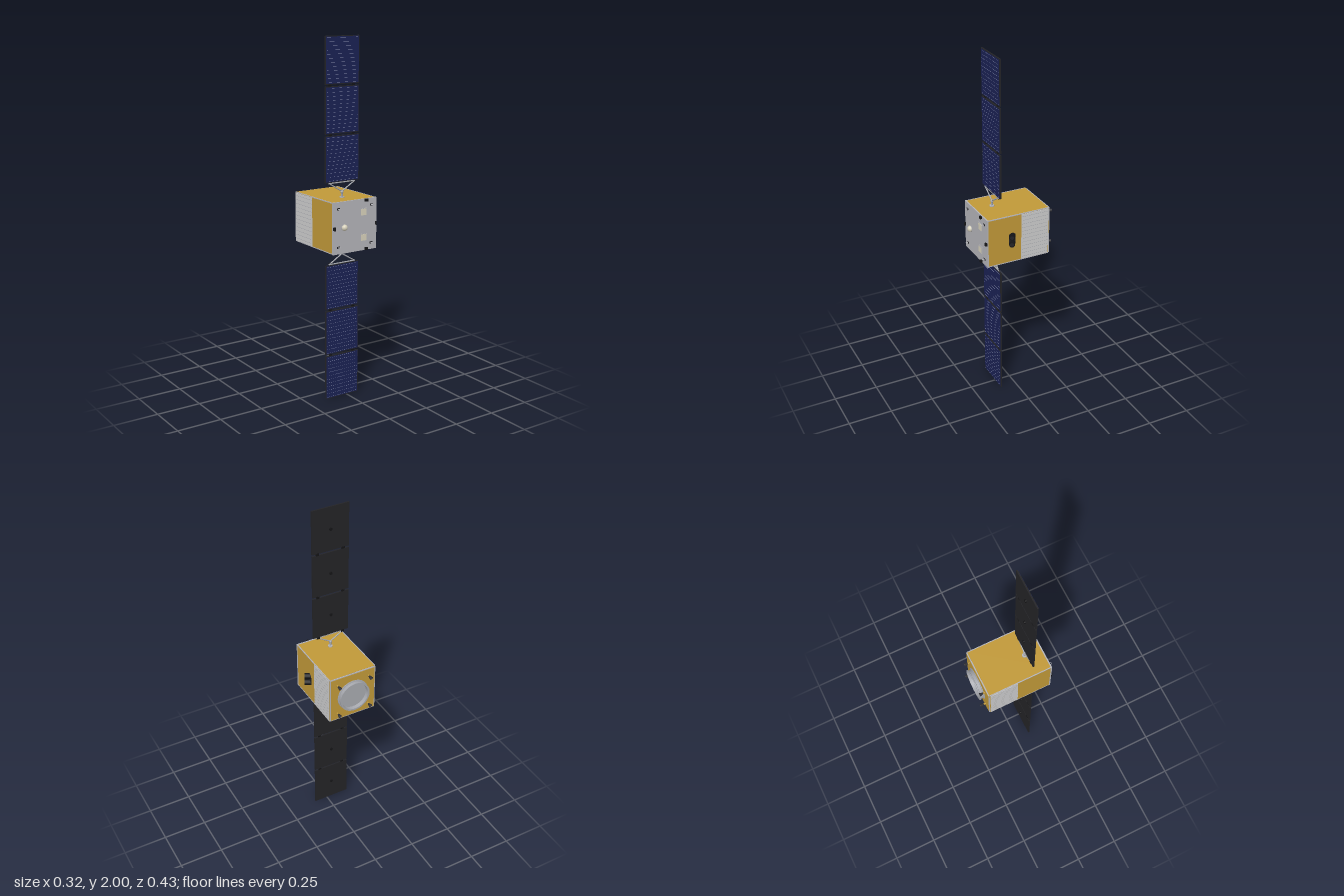
import * as THREE from 'three';

const mat = (color, extra = {}) => new THREE.MeshStandardMaterial({ color, ...extra });

export function createModel() {
  const gold = mat(0xc09838), grey = mat(0xb4b4b9), white = mat(0xd8d8d4), dark = mat(0x232326),
    black = mat(0x141416), blue = mat(0x1a2154), pale = mat(0x8f96b4), cream = mat(0xd8d2bc),
    steel = mat(0xa6a8ae, { side: THREE.DoubleSide });
  const model = new THREE.Group();
  const CX = -0.016, CY = 1; // bus centre

  const add = (parent, name, geo, material, x = 0, y = 0, z = 0) => {
    const m = new THREE.Mesh(geo, material);
    m.name = name;
    m.position.set(x, y, z);
    parent.add(m);
    return m;
  };
  const box = (p, name, w, h, d, material, x, y, z) =>
    add(p, name, new THREE.BoxGeometry(w, h, d), material, x, y, z);
  const group = (name, x = 0, y = 0, z = 0) => {
    const g = new THREE.Group();
    g.name = name;
    g.position.set(x, y, z);
    model.add(g);
    return g;
  };
  const rod = (p, name, a, b, r, material) => {
    const A = new THREE.Vector3(...a), B = new THREE.Vector3(...b), d = B.clone().sub(A);
    const m = add(p, name, new THREE.CylinderGeometry(r, r, d.length(), 12), material);
    m.position.copy(A).lerp(B, 0.5);
    m.quaternion.setFromUnitVectors(new THREE.Vector3(0, 1, 0), d.normalize());
    return m;
  };

  // Bus with insulated skin, front deck and rear plate
  const bus = group('bus', CX, CY, 0);
  box(bus, 'busBody', 0.28, 0.28, 0.364, gold, 0, 0, 0.005);
  box(bus, 'frontDeck', 0.284, 0.284, 0.007, grey, 0, 0, 0.1905);
  box(bus, 'rearFrame', 0.278, 0.278, 0.006, grey, 0, 0, -0.1805);
  box(bus, 'rearInsulation', 0.268, 0.268, 0.002, gold, 0, 0, -0.184);
  for (const sx of [-1, 1]) for (const sy of [-1, 1])
    box(bus, 'edgeRail', 0.005, 0.005, 0.364, grey, sx * 0.1385, sy * 0.1385, 0.005);

  // Slatted radiators on both sides
  for (const s of [-1, 1]) {
    box(bus, 'radiator', 0.004, 0.27, 0.164, white, s * 0.1405, 0, -0.092);
    for (let i = 0; i < 12; i++)
      box(bus, 'radiatorSlatGap', 0.001, 0.0018, 0.156, steel, s * 0.1427, -0.121 + i * 0.022, -0.092);
  }

  // Rear launch adapter ring with a closed floor
  const ringProfile = [[0, 0.006], [0.078, 0.006], [0.08, 0.027], [0.09, 0.027], [0.09, 0.022],
    [0.085, 0.02], [0.085, 0.005], [0.093, 0.003], [0.093, 0]].map(p => new THREE.Vector2(...p));
  const ring = add(bus, 'adapterRing', new THREE.LatheGeometry(ringProfile, 64),
    mat(0xa6a8ae, { side: THREE.DoubleSide, flatShading: true }), 0, 0, -0.185);
  ring.rotation.x = -Math.PI / 2;

  // Four rear thrusters outside the ring
  for (const sx of [-1, 1]) for (const sy of [-1, 1]) {
    const x = sx * 0.095, y = sy * 0.095;
    rod(bus, 'thrusterMount', [x, y, -0.182], [x, y, -0.198], 0.005, gold);
    const bell = add(bus, 'thrusterBell', new THREE.CylinderGeometry(0.004, 0.0095, 0.024, 20, 1, true),
      mat(0x303034, { side: THREE.DoubleSide }), x, y, -0.205);
    bell.rotation.x = Math.PI / 2;
  }

  // Front deck equipment
  const deck = group('deckEquipment', CX, CY, 0.194);
  const dome = add(deck, 'domeAntenna',
    new THREE.SphereGeometry(0.017, 32, 16, 0, Math.PI * 2, 0, Math.PI / 2), cream, -0.07, 0, 0.003);
  dome.rotation.x = Math.PI / 2;
  rod(deck, 'domeBase', [-0.07, 0, -0.001], [-0.07, 0, 0.003], 0.018, grey);
  for (const s of [-1, 1]) {
    box(deck, 'patchBase', 0.042, 0.042, 0.003, grey, 0.056, s * 0.07, 0.001);
    box(deck, 'patchAntenna', 0.035, 0.035, 0.003, cream, 0.056, s * 0.07, 0.003);
    box(deck, 'starSensor', 0.016, 0.014, 0.014, black, 0.071, s * 0.134, 0.004);
    const sun = box(deck, 'sunSensor', 0.015, 0.018, 0.008, black, s * 0.135, 0, 0.004);
    sun.rotation.y = s * Math.PI / 4;
    for (const x of [-0.107, 0.106]) {
      box(deck, 'lugBase', 0.016, 0.011, 0.004, dark, x, s * 0.105, 0.001);
      const lug = add(deck, 'liftingLug', new THREE.TorusGeometry(0.0055, 0.0018, 8, 20), grey,
        x, s * 0.105, 0.0085);
      lug.rotation.x = Math.PI / 2;
    }
  }

  // Pair of tilted cameras on the left side
  const cams = group('sideCameras');
  for (const s of [-1, 1]) {
    const y = CY + s * 0.021, dx = 0.87, dz = 0.49, f = [0.15, y, 0.059];
    const back = t => [f[0] - dx * t, y, f[2] - dz * t];
    rod(cams, 'cameraBarrel', back(0.034), back(0), 0.0165, black);
    rod(cams, 'cameraLens', back(0.002), back(-0.0005), 0.011, dark);
  }
  box(cams, 'cameraBracket', 0.006, 0.06, 0.035, dark, 0.125, CY, 0.046);

  // Two solar wings, mirrored above and below the bus
  const PX = -0.03, PZ = 0.091, W = 0.216, H = 0.251, PITCH = 0.2605;
  for (const s of [-1, 1]) {
    const wing = group(s > 0 ? 'upperWing' : 'lowerWing', PX, CY, PZ);
    const Y = v => s * v;
    rod(wing, 'driveBase', [0, Y(0.138), 0], [0, Y(0.146), 0], 0.013, grey);
    rod(wing, 'driveShaft', [0, Y(0.14), 0], [0, Y(0.178), 0], 0.005, steel);
    add(wing, 'driveJoint', new THREE.SphereGeometry(0.0085, 20, 12), steel, 0, Y(0.17), 0);
    for (const sx of [-1, 1])
      rod(wing, 'yokeArm', [0, Y(0.174), 0], [sx * 0.083, Y(0.224), 0], 0.0035, steel);
    rod(wing, 'yokeBar', [-0.085, Y(0.224), 0], [0.085, Y(0.224), 0], 0.0035, steel);
    for (let i = 0; i < 3; i++) {
      const y = Y(1 - H / 2 - i * PITCH);
      box(wing, 'panelBack', W, H, 0.008, dark, 0, y, -0.001);
      box(wing, 'solarCells', W - 0.008, H - 0.008, 0.002, blue, 0, y, 0.0035);
      // Thin cell connectors
      for (let r = 0; r < 12; r++)
        box(wing, 'cellRowLine', W - 0.02, 0.0009, 0.0006, pale, 0, y - 0.1155 + r * 0.021, 0.0046);
      for (let c = 0; c < 9; c++)
        box(wing, 'cellColumnLine', 0.0005, H - 0.02, 0.0004, blue, -0.092 + c * 0.023, y, 0.0046);
      rod(wing, 'holdDownHub', [0, y, -0.012], [0, y, -0.004], 0.0085, black);
      // Hinges to the next item inboard
      for (const sx of [-1, 1])
        box(wing, 'hinge', 0.018, 0.016, 0.006, black, sx * 0.075, y - s * (H / 2 + 0.0045), -0.002);
    }
  }
  return model;
}
